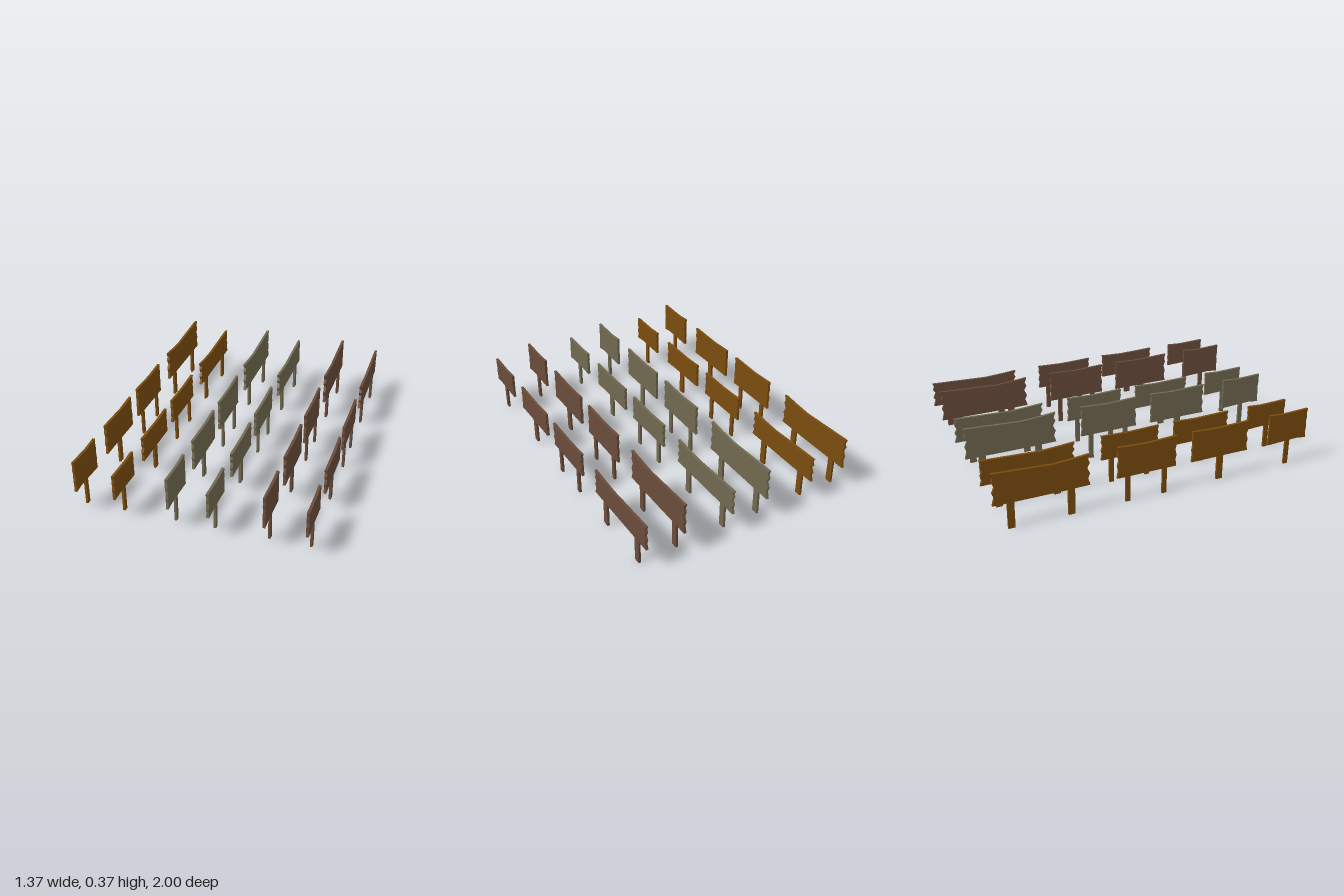
import * as THREE from 'three';

// Each row: z span, dip of the top edge (position, depth), lift of the bottom edge,
// depth of the notches at either end, ground clearance, post centres and width.
const ROWS = [
  { z0: 1.0, z1: 0.73, dip: [0.65, 0.008], lift: 0.011, near: 0.006, far: 0.005, foot: 0.01, posts: [0.872], width: 0.028 },
  { z0: 0.585, z1: 0.21, dip: [0.62, 0.009], lift: 0.004, near: 0.012, far: 0.006, foot: 0.01, posts: [0.402], width: 0.04 },
  { z0: 0.108, z1: -0.265, dip: [0.55, 0.009], lift: 0.003, near: 0.009, far: 0.01, foot: 0, posts: [0.035, -0.198], width: 0.028 },
  { z0: -0.43, z1: -1.0, dip: [0.37, 0.019], lift: 0, near: 0.018, far: 0.017, foot: 0, posts: [-0.543, -0.897], width: 0.041 },
];

const COLUMNS = [
  { wood: 'amber', color: 0x7a4c0e, tall: -0.677, short: -0.44 },
  { wood: 'grey', color: 0x706850, tall: -0.12, short: 0.116 },
  { wood: 'brown', color: 0x6a4c3a, tall: 0.435, short: 0.674 },
];

// Ragged end: height fraction and how deep the notch cuts there
const NOTCHES = [[0.24, 0.75], [0.38, 0.1], [0.57, 1], [0.72, 0.15], [0.85, 0.7]];

const BOARD_H = 0.2;
const BOARD_T = 0.016;
const POST_T = 0.014;

// Ragged plank outline, extruded and turned so its face looks along x
function boardGeometry(row, base, scale) {
  const length = row.z0 - row.z1;
  const [dipAt, dip] = row.dip;
  const points = [];
  const add = (s, y) => points.push(new THREE.Vector2(s - row.z0, base + y * scale));
  // bottom edge
  add(0, 0.003);
  add(0.25 * length, row.lift);
  add(length, 0.001);
  // far end, going up
  NOTCHES.forEach(([v, cut]) => add(length - cut * row.far, v * BOARD_H));
  // sagging top edge
  add(length, BOARD_H);
  add(dipAt * length, BOARD_H - dip);
  add(dipAt * 0.5 * length, BOARD_H - dip * 0.6);
  add(0, BOARD_H - 0.001);
  // near end, going down
  NOTCHES.toReversed().forEach(([v, cut]) => add(cut * row.near, v * BOARD_H));

  const geometry = new THREE.ExtrudeGeometry(new THREE.Shape(points), { depth: BOARD_T, bevelEnabled: false });
  geometry.translate(0, 0, -BOARD_T / 2);
  geometry.rotateY(Math.PI / 2);
  return geometry;
}

// One sign: plank plus the posts below it
function makeSign(row, base, scale, material) {
  const sign = new THREE.Group();
  const board = new THREE.Mesh(boardGeometry(row, base, scale), material);
  board.name = 'board';
  sign.add(board);
  const height = base + 0.03 - row.foot;
  for (const z of row.posts) {
    const post = new THREE.Mesh(new THREE.BoxGeometry(POST_T, height, row.width), material);
    post.position.set(0, row.foot + height / 2, z);
    post.name = 'post';
    sign.add(post);
  }
  return sign;
}

export function createModel() {
  const model = new THREE.Group();
  model.name = 'woodenSigns';
  for (const { wood, color, tall, short } of COLUMNS) {
    const material = new THREE.MeshStandardMaterial({ color, flatShading: true });
    ROWS.forEach((row, i) => {
      const high = makeSign(row, 0.165, 1, material);
      high.position.x = tall;
      high.name = `${wood}TallSign${i + 1}`;
      const low = makeSign(row, 0.16, 0.8, material);
      low.position.x = short;
      low.name = `${wood}ShortSign${i + 1}`;
      model.add(high, low);
    });
  }
  return model;
}
